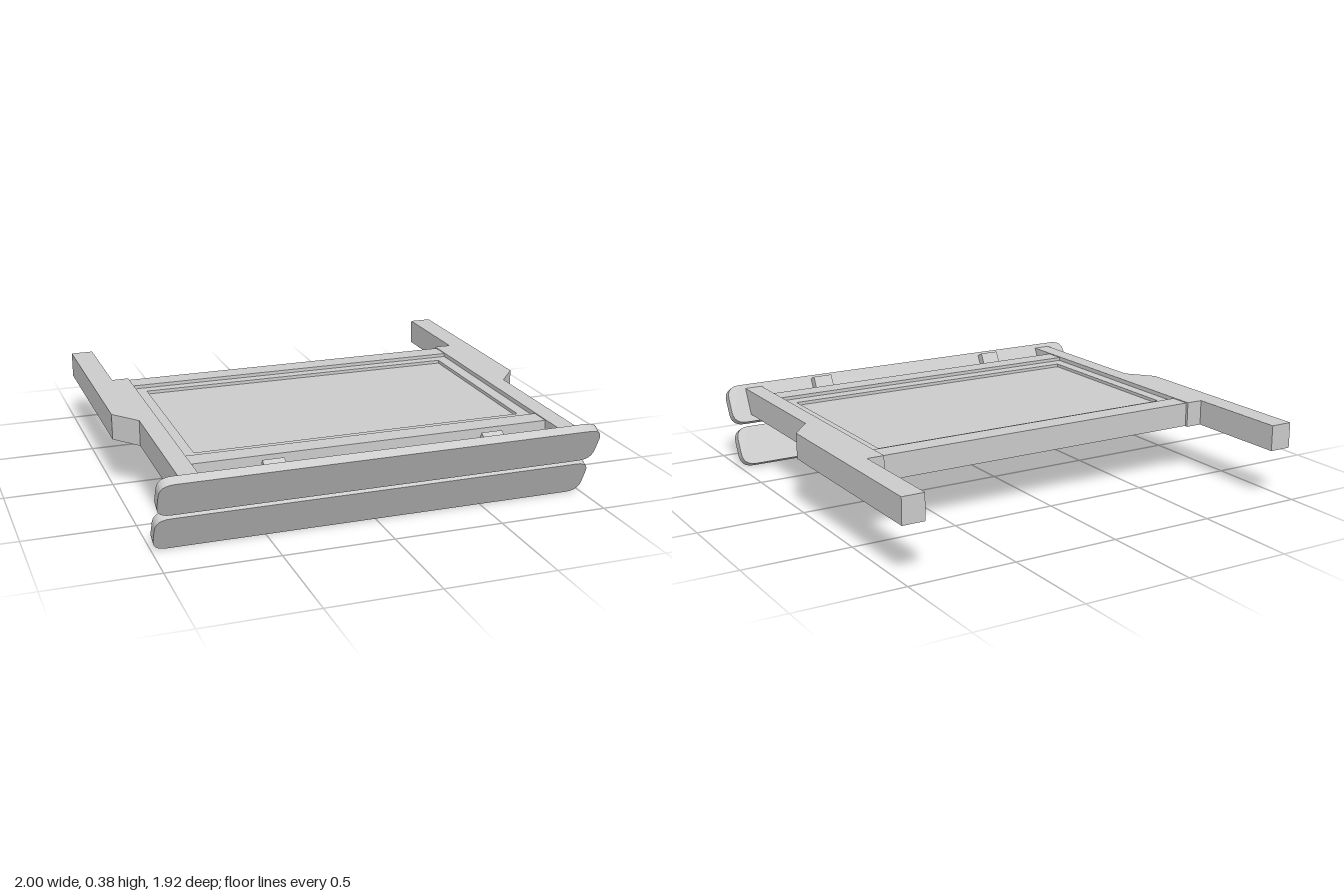
import * as THREE from 'three';

const material = new THREE.MeshStandardMaterial({ color: 0xcccccc, flatShading: true });

function mesh(name, geometry, parent) {
  const m = new THREE.Mesh(geometry, material);
  m.name = name;
  parent.add(m);
  return m;
}

// Box given by its limits on each axis
function box(name, [x0, x1], [y0, y1], [z0, z1], parent) {
  const g = new THREE.BoxGeometry(x1 - x0, y1 - y0, z1 - z0);
  g.translate((x0 + x1) / 2, (y0 + y1) / 2, (z0 + z1) / 2);
  return mesh(name, g, parent);
}

const outline = (points) => new THREE.Shape(points.map(([x, y]) => new THREE.Vector2(x, y)));

const extrude = (shape, depth) =>
  new THREE.ExtrudeGeometry(shape, { depth, bevelEnabled: false, curveSegments: 6 });

// Board outline with rounded corners, standing on y = 0
function boardShape(w, h, rx, ry) {
  const s = new THREE.Shape();
  s.moveTo(-w + rx, 0);
  s.lineTo(w - rx, 0);
  s.quadraticCurveTo(w, 0, w, ry);
  s.lineTo(w, h - ry);
  s.quadraticCurveTo(w, h, w - rx, h);
  s.lineTo(-w + rx, h);
  s.quadraticCurveTo(-w, h, -w, h - ry);
  s.lineTo(-w, ry);
  s.quadraticCurveTo(-w, 0, -w + rx, 0);
  return s;
}

export function createModel() {
  const model = new THREE.Group();
  model.name = 'frame';
  const Y = [0.24, 0.36];

  for (const side of [-1, 1]) {
    // Side rail, its front end cut to the slope of the boards
    const railGeo = extrude(outline([[0.45, Y[0]], [0.45, Y[1]], [-0.905, Y[1]], [-0.845, Y[0]]]), 0.085);
    railGeo.rotateY(Math.PI / 2);
    railGeo.translate(side * 0.8575 - 0.0425, 0, 0);
    mesh(side > 0 ? 'leftRail' : 'rightRail', railGeo, model);

    // Rear arm with a tapered front end
    const plan = [[0.895, 0.96], [0.895, -0.18], [1, -0.05], [1, 0.96]].map(([x, z]) => [side * x, z]);
    const armGeo = extrude(outline(plan), Y[1] - Y[0]);
    armGeo.rotateX(-Math.PI / 2);
    armGeo.translate(0, Y[0], 0);
    mesh(side > 0 ? 'leftArm' : 'rightArm', armGeo, model);
  }

  // Cross rails between the side rails
  box('frontCrossRail', [-0.815, 0.815], [0.242, 0.356], [0.66, 0.76], model);
  box('backCrossRail', [-0.815, 0.815], [0.242, 0.356], [-0.437, -0.337], model);

  // Panel border with a thinner centre panel
  const border = outline([[-0.815, -0.66], [0.815, -0.66], [0.815, 0.337], [-0.815, 0.337]]);
  border.holes.push(outline([[-0.76, -0.595], [-0.76, 0.285], [0.76, 0.285], [0.76, -0.595]]));
  const borderGeo = extrude(border, 0.08);
  borderGeo.rotateX(-Math.PI / 2);
  borderGeo.translate(0, 0.26, 0);
  mesh('panelBorder', borderGeo, model);
  box('panel', [-0.76, 0.76], [0.275, 0.325], [-0.285, 0.595], model);

  // Leaning front boards joined by two straps behind
  const front = new THREE.Group();
  front.name = 'frontBoards';
  front.position.set(0, 0, 0.772);
  front.rotation.x = THREE.MathUtils.degToRad(27.5);
  model.add(front);
  for (const [name, y] of [['lowerBoard', 0], ['upperBoard', 0.212]]) {
    const g = extrude(boardShape(0.995, 0.19, 0.065, 0.06), 0.046);
    g.translate(0, y, -0.046);
    mesh(name, g, front);
  }
  for (const x of [-0.495, 0.495]) {
    box('strap', [x - 0.048, x + 0.048], [0.034, 0.383], [-0.087, -0.046], front);
  }

  return model;
}
